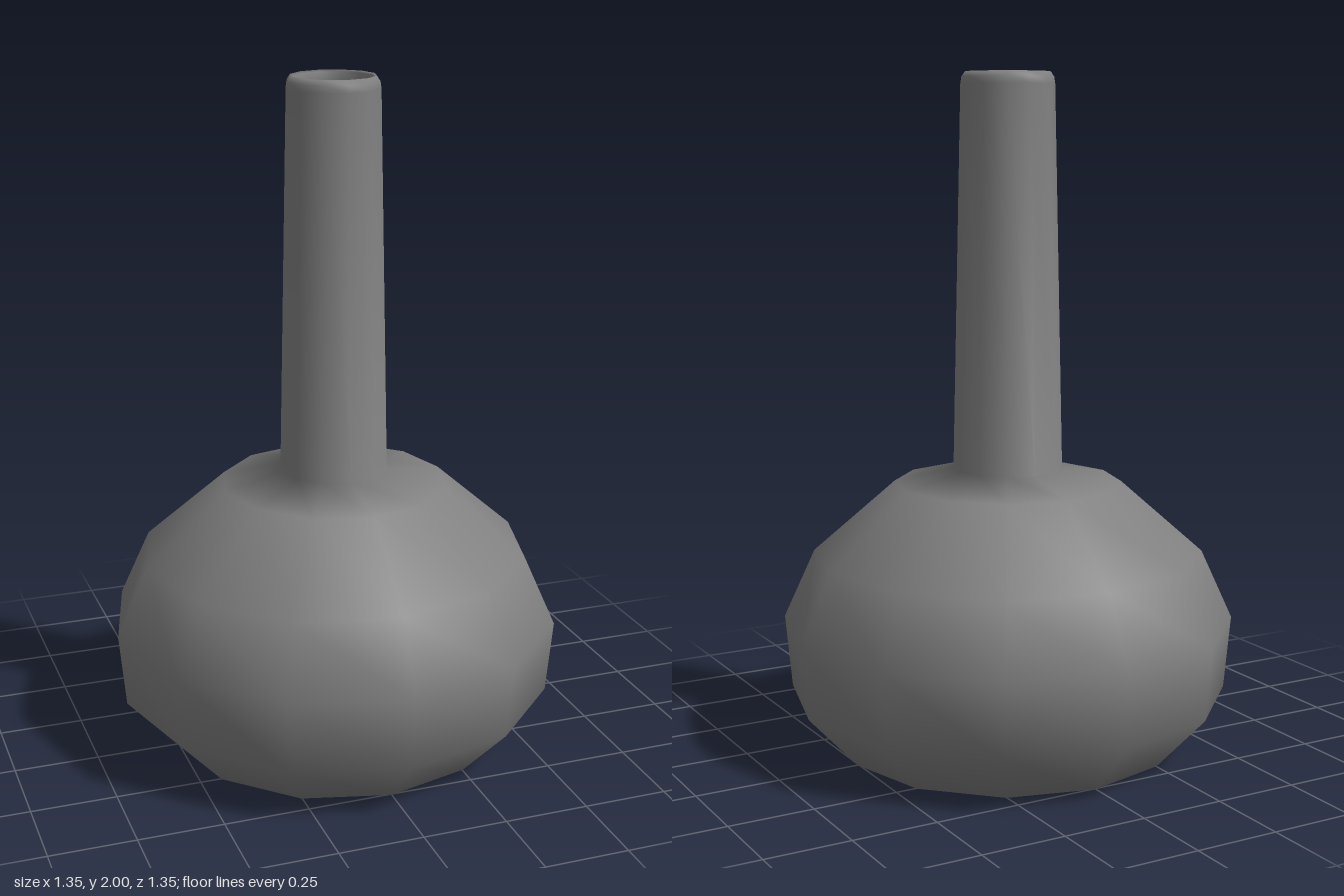
import * as THREE from 'three';
import { mergeVertices } from 'three/addons/utils/BufferGeometryUtils.js';

const SIDES = 12;

// Smooth-shaded revolved part from [radius, height] pairs, outer side listed upwards
function turned(name, profile) {
  const points = profile.map(([r, y]) => new THREE.Vector2(r, y));
  const lathe = new THREE.LatheGeometry(points, SIDES);
  // weld the seam and the poles so the shading runs evenly across them
  lathe.deleteAttribute('uv');
  lathe.deleteAttribute('normal');
  const geometry = mergeVertices(lathe);
  geometry.computeVertexNormals();
  const mesh = new THREE.Mesh(geometry, new THREE.MeshStandardMaterial({ color: 0x808080 }));
  mesh.name = name;
  return mesh;
}

export function createModel() {
  const group = new THREE.Group();
  group.name = 'bottleVase';

  group.add(turned('vase', [
    // flat base
    [0, 0], [0.505, 0],
    // squat round belly and shoulder
    [0.655, 0.162], [0.675, 0.38], [0.582, 0.585], [0.338, 0.798], [0.162, 0.84],
    // long tapering neck
    [0.137, 1.965],
    // rounded lip
    [0.134, 1.985], [0.124, 2], [0.115, 1.995],
    // hollow bore
    [0.113, 1.96], [0.112, 0.84]
  ]));

  // floor closing the bore
  group.add(turned('boreFloor', [[0.112, 0.84], [0, 0.84]]));

  return group;
}
